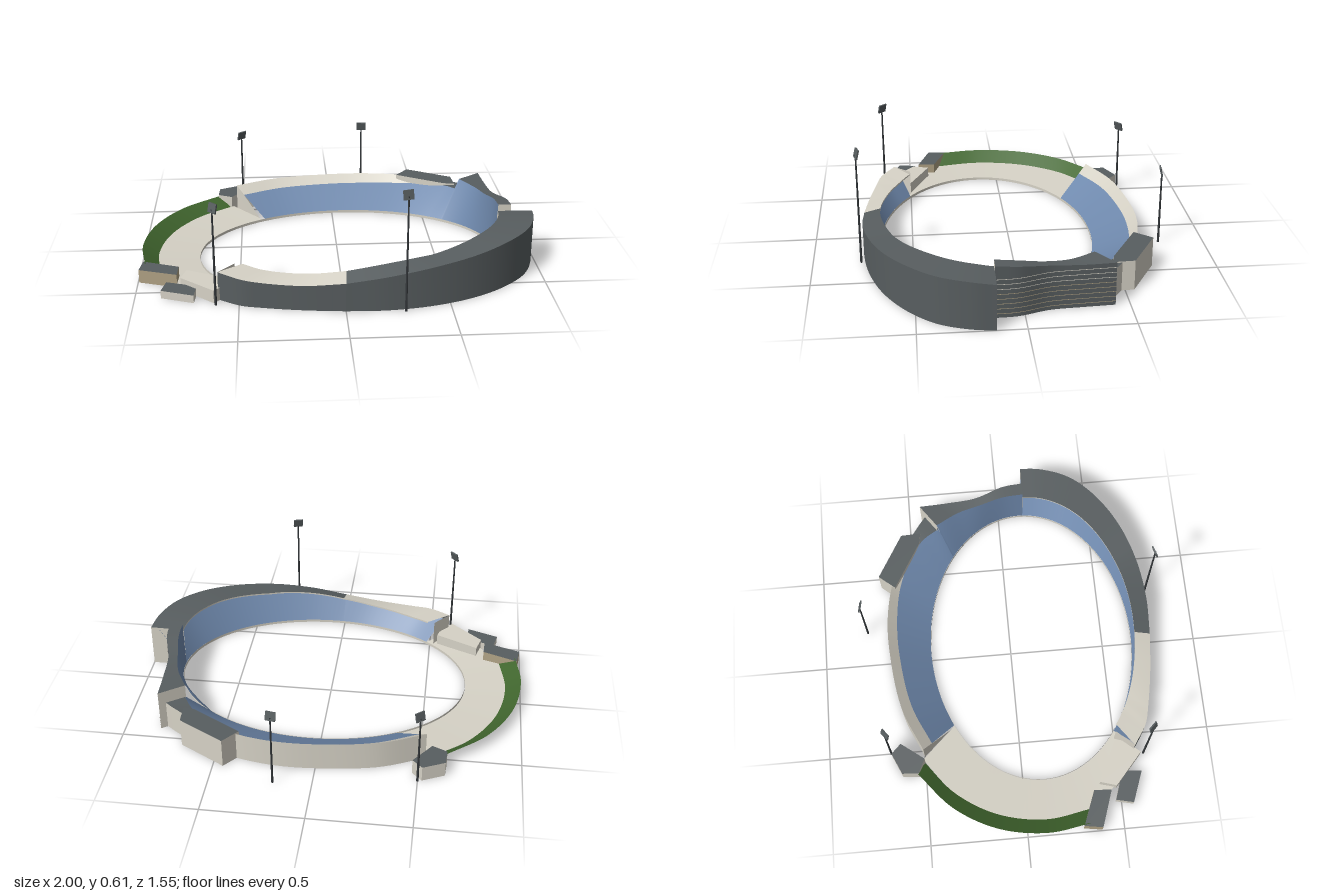
import * as THREE from 'three';

const mat = (name, color) => {
  const m = new THREE.MeshStandardMaterial({ color, side: THREE.DoubleSide });
  m.name = name;
  return m;
};

// Smooth rail through [x, y, z] control points, sampled evenly per control point
const rail = (pts, n = 48) =>
  new THREE.CatmullRomCurve3(pts.map(p => new THREE.Vector3(...p))).getPoints(n);

// Point of the pitch edge (an ellipse) that lies nearest to a plan position
const pitchEdge = (p, y, grow = 1) => {
  const t = Math.atan2((p.z - 0.115) / 0.545, (p.x - 0.055) / 0.765);
  return new THREE.Vector3(0.055 + 0.765 * grow * Math.cos(t), y, 0.115 + 0.545 * grow * Math.sin(t));
};
const atHeight = (r, y) => r.map(p => new THREE.Vector3(p.x, y, p.z));

// Ribbon surface between two rails with the same number of points
function ribbon(a, b) {
  const pos = [], index = [];
  a.forEach((p, i) => {
    pos.push(p.x, p.y, p.z, b[i].x, b[i].y, b[i].z);
    if (i) {
      const k = 2 * i;
      index.push(k - 2, k, k - 1, k - 1, k, k + 1);
    }
  });
  const g = new THREE.BufferGeometry();
  g.setAttribute('position', new THREE.Float32BufferAttribute(pos, 3));
  g.setIndex(index);
  g.computeVertexNormals();
  return g;
}

// Upright block on a plan outline of [x, z] corners
function block(outline, y0, y1) {
  const g = new THREE.ExtrudeGeometry(new THREE.Shape(outline.map(p => new THREE.Vector2(...p))),
    { depth: y1 - y0, bevelEnabled: false });
  return g.rotateX(Math.PI / 2).translate(0, y1, 0);
}

export function createModel() {
  const model = new THREE.Group();
  model.name = 'stadium';
  const dark = mat('dark cladding', 0x585e60);
  const pale = mat('pale concrete', 0xd6d2c6);
  const blue = mat('blue seating', 0x6f89ad);
  const green = mat('grass', 0x42682f);
  const tan = mat('tan wall', 0xb0a284);
  const black = mat('mast metal', 0x34383b);
  const add = (name, geometry, material, parent = model) => {
    const m = new THREE.Mesh(geometry, material);
    m.name = name;
    parent.add(m);
    return m;
  };
  const quad = (name, material, a, b, c, d) =>
    add(name, ribbon([a, b].map(p => new THREE.Vector3(...p)), [d, c].map(p => new THREE.Vector3(...p))), material);

  // Front grandstand: wall, overhanging roof in two colours, raked seating
  const darkEdge = rail([[1, 0.23, 0.14], [0.982, 0.239, 0.25], [0.92, 0.242, 0.4], [0.8, 0.238, 0.53],
    [0.63, 0.223, 0.64], [0.42, 0.202, 0.715], [0.2, 0.173, 0.748], [0, 0.143, 0.745]]);
  const paleEdge = rail([[0, 0.143, 0.745], [-0.2, 0.127, 0.723], [-0.4, 0.13, 0.685],
    [-0.49, 0.137, 0.66], [-0.6, 0.145, 0.59]], 24);
  for (const [edge, roofMat] of [[darkEdge, dark], [paleEdge, pale]]) {
    const lip = edge.map(p => pitchEdge(p, p.y + 0.025 * Math.max(0, 1 - (p.x / 0.5) ** 2), 1.003));
    const foot = edge.map(p => pitchEdge(p, 0.012));
    const seatTop = edge.map((p, i) => lip[i].clone().lerp(p, 0.75).add(new THREE.Vector3(0, -0.012, 0)));
    add('frontWall', ribbon(edge, atHeight(edge, 0)), dark);
    add('frontRoof', ribbon(edge, lip), roofMat);
    add('frontRoofFascia', ribbon(lip, lip.map(p => new THREE.Vector3(p.x, p.y - 0.008, p.z))), pale);
    add('frontSeating', ribbon(seatTop, foot), blue);
  }
  quad('frontStandEnd', pale, [0.82, 0, 0.14], [1, 0, 0.14], [1, 0.23, 0.14], [0.82, 0.23, 0.14]);
  quad('frontStandCornerEnd', pale, [-0.6, 0, 0.59], [-0.52, 0, 0.5], [-0.52, 0.145, 0.5], [-0.6, 0.145, 0.59]);

  // Back grandstand: low pale wall with an inward leaning parapet
  const backTop = rail([[-0.53, 0.15, -0.5], [-0.3, 0.15, -0.598], [0, 0.15, -0.643], [0.2, 0.15, -0.645],
    [0.4, 0.15, -0.61], [0.6, 0.15, -0.535], [0.72, 0.15, -0.46], [0.8, 0.15, -0.4]]);
  const backSeat = rail([[-0.49, 0.11, -0.455], [-0.28, 0.11, -0.548], [0, 0.11, -0.595], [0.2, 0.11, -0.598],
    [0.39, 0.115, -0.57], [0.55, 0.13, -0.505], [0.65, 0.145, -0.43], [0.71, 0.15, -0.34]]);
  add('backWall', ribbon(backTop, atHeight(backTop, 0)), pale);
  add('backParapet', ribbon(backTop.slice(0, 33), backSeat.slice(0, 33)), pale);
  add('backCornerRoof', ribbon(backTop.slice(32), backSeat.slice(32)), dark);
  add('backSeating', ribbon(backSeat, backSeat.map(p => pitchEdge(p, 0.012))), blue);
  quad('backStandEnd', pale, [-0.53, 0, -0.5], [-0.4, 0, -0.36], [-0.49, 0.11, -0.455], [-0.53, 0.15, -0.5]);

  // Tall curved side building with banded facade
  const sideOuter = rail([[0.89, 0.265, 0.138], [0.883, 0.254, 0.03], [0.84, 0.23, -0.12],
    [0.828, 0.22, -0.28], [0.82, 0.22, -0.43]]);
  const sideInner = rail([[0.823, 0.265, 0.138], [0.82, 0.254, 0.03], [0.795, 0.23, -0.1],
    [0.765, 0.22, -0.22], [0.7, 0.22, -0.345]]);
  add('sideFacade', ribbon(sideOuter, atHeight(sideOuter, 0)), dark);
  add('sideRoof', ribbon(sideOuter, sideInner), dark);
  add('sideSeating', ribbon(sideInner, sideInner.map(p => pitchEdge(p, 0.012))), blue);
  quad('sideFrontEnd', pale, [0.823, 0, 0.138], [0.89, 0, 0.138], [0.89, 0.265, 0.138], [0.823, 0.265, 0.138]);
  quad('sideBackEnd', pale, [0.82, 0, -0.43], [0.7, 0, -0.345], [0.7, 0.22, -0.345], [0.82, 0.22, -0.43]);
  for (let i = 0; i < 8; i++) {
    const y = 0.02 + i * 0.025;
    const band = sideOuter.map(p => new THREE.Vector3(p.x + 0.002, y, p.z));
    add('facadeBand', ribbon(band, atHeight(band, y + 0.003)), i < 5 ? tan : pale);
  }

  // Open terrace and the grass bank behind it
  const terraceTop = rail([[-0.55, 0.02, -0.51], [-0.74, 0.02, -0.36], [-0.87, 0.02, -0.15],
    [-0.92, 0.02, 0.1], [-0.885, 0.02, 0.33], [-0.78, 0.02, 0.47], [-0.6, 0.02, 0.6]]);
  add('terrace', ribbon(terraceTop, terraceTop.map(p => pitchEdge(p, 0.005))), pale);
  const bankFoot = rail([[-0.57, 0.02, -0.5], [-0.74, 0.02, -0.36], [-0.87, 0.02, -0.15],
    [-0.92, 0.02, 0.1], [-0.885, 0.02, 0.34]]);
  const bankTop = rail([[-0.63, 0.07, -0.545], [-0.83, 0.07, -0.37], [-0.955, 0.07, -0.15],
    [-0.999, 0.07, 0.1], [-0.97, 0.07, 0.32]]);
  add('grassBank', ribbon(bankFoot, bankTop), green);

  // Kerb around the pitch
  const kerb = Array.from({ length: 97 }, (_, i) => {
    const t = i / 48 * Math.PI;
    return pitchEdge({ x: 0.055 + 0.765 * Math.cos(t), z: 0.115 + 0.545 * Math.sin(t) }, 0.014, 0.997);
  });
  add('pitchKerb', ribbon(kerb, atHeight(kerb, 0)), pale);

  // Outbuildings: plan outline, height, roof, walls
  const buildings = [
    ['gateHouse', [[-0.98, 0.29], [-0.8, 0.36], [-0.805, 0.45], [-0.995, 0.385]], 0.068, dark, tan],
    ['ticketHouse', [[-0.855, 0.47], [-0.705, 0.52], [-0.715, 0.62], [-0.875, 0.56]], 0.04, dark, pale],
    ['clubHouse', [[-0.76, 0.395], [-0.54, 0.5], [-0.56, 0.56], [-0.62, 0.625], [-0.785, 0.48]], 0.066, pale, pale],
    ['cornerPavilion', [[-0.63, -0.62], [-0.52, -0.67], [-0.47, -0.62], [-0.56, -0.5], [-0.635, -0.535]], 0.08, dark, pale],
    ['backPavilion', [[0.45, -0.68], [0.685, -0.545], [0.69, -0.44], [0.63, -0.45], [0.38, -0.595]], 0.155, dark, pale],
  ];
  for (const [name, outline, h, roof, walls] of buildings)
    add(name, block(outline, 0, h), [roof, walls]);

  // Floodlight masts with lamp panels turned to the pitch
  for (const [x, z, h] of [[-0.61, 0.645, 0.52], [0.28, 0.76, 0.61], [-0.5, -0.675, 0.41], [0.19, -0.768, 0.42]]) {
    const mast = new THREE.Group();
    mast.name = 'floodlight';
    mast.position.set(x, 0, z);
    mast.rotation.y = Math.atan2(0.05 - x, -z);
    add('pole', new THREE.CylinderGeometry(0.004, 0.006, h - 0.03, 8).translate(0, (h - 0.03) / 2, 0), black, mast);
    const panel = add('lampPanel', new THREE.BoxGeometry(0.05, 0.046, 0.008), dark, mast);
    panel.position.set(0, h - 0.024, 0.004);
    panel.rotation.x = 0.25;
    model.add(mast);
  }
  return model;
}
